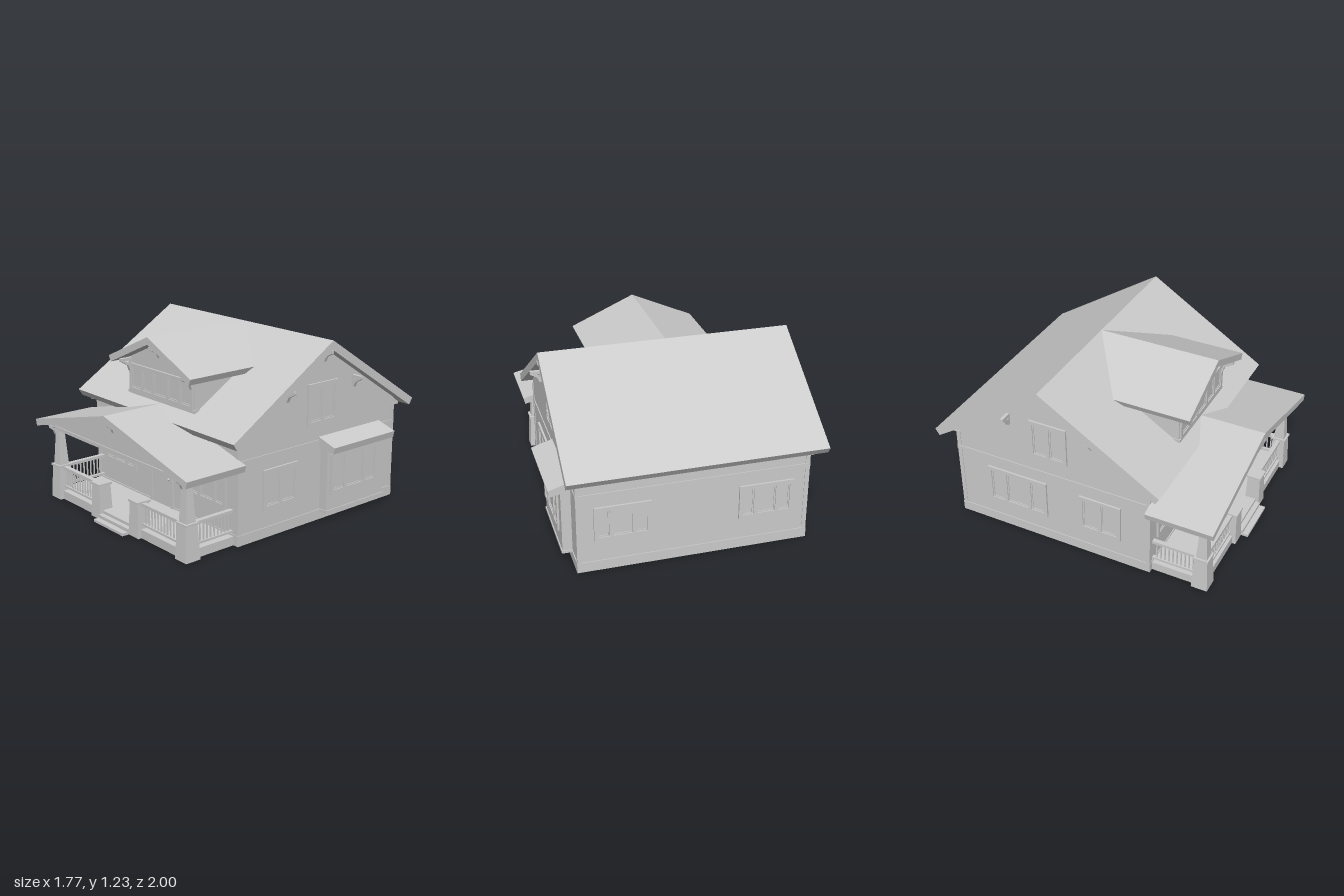
import * as THREE from 'three';

const mat = new THREE.MeshStandardMaterial({ color: 0xcccccc, flatShading: true });
const CX = -0.035; // symmetry plane of the house
const X0 = -0.80, X1 = 0.735, Z0 = -0.89, Z1 = 0.54; // wall faces

export function createModel() {
  const house = new THREE.Group();
  house.name = 'house';

  const add = (name, geo, parent = house) => {
    const m = new THREE.Mesh(geo, mat);
    m.name = name;
    parent.add(m);
    return m;
  };
  // Box given by its min and max on each axis
  const box = (name, x0, x1, y0, y1, z0, z1, parent = house) => {
    const m = add(name, new THREE.BoxGeometry(x1 - x0, y1 - y0, z1 - z0), parent);
    m.position.set((x0 + x1) / 2, (y0 + y1) / 2, (z0 + z1) / 2);
    return m;
  };
  const poly = pts => new THREE.Shape(pts.map(p => new THREE.Vector2(...p)));
  const extrude = (shape, depth) => new THREE.ExtrudeGeometry(shape, { depth, bevelEnabled: false });
  // Prism with its profile in x,y, running from z0 to z1
  const alongZ = (name, pts, z0, z1) => {
    const m = add(name, extrude(poly(pts), z1 - z0));
    m.position.z = z0;
    return m;
  };
  // Prism with its profile in z,y, running from x0 to x1
  const alongX = (name, pts, x0, x1) => {
    const m = add(name, extrude(poly(pts), x1 - x0));
    m.rotation.y = -Math.PI / 2;
    m.position.x = x1;
    return m;
  };
  // Gable roof slab with eaves cut square to the slope
  const gable = (a, b, apex, top, eave, t) => {
    const ends = [[a, 1], [b, -1]].map(([e, s]) => {
      const run = Math.abs(apex - e), rise = top - eave, l = Math.hypot(run, rise);
      return { low: [e + s * t * rise / l, eave - t * run / l], drop: t * l / run };
    });
    return [[a, eave], ends[0].low, [apex, top - ends[0].drop], ends[1].low, [b, eave], [apex, top]];
  };

  // Main body, base skirt, belt course and corner boards
  alongX('walls', [[Z0, 0], [Z1, 0], [Z1, 0.72], [-0.195, 1.18], [Z0, 0.73]], X0, X1);
  const e = 0.006;
  box('baseSkirt', X0 - e, X1 + e, 0, 0.07, Z0 - e, Z1 + e);
  box('beltCourse', X0 - e, X1 + e, 0.535, 0.56, Z0 - e, Z1 + e);
  for (const x of [X0, X1]) for (const z of [Z0, Z1]) {
    const sx = Math.sign(x), sz = Math.sign(z);
    const cx = x - sx * 0.011, cz = z - sz * 0.011;
    box('cornerBoard', cx - 0.015, cx + 0.015, 0.07, 0.68, cz - 0.015, cz + 0.015);
  }

  // Roofs
  alongX('mainRoof', gable(-1, 0.64, -0.195, 1.23, 0.71, 0.053), -0.885, 0.81);
  alongZ('porchRoof', gable(-0.885, 0.81, CX, 0.77, 0.558, 0.046), 0.54, 1.0);
  alongZ('dormerRoof', gable(-0.475, 0.41, CX, 1.23, 1.035, 0.045), -0.195, 0.648);

  // Rafter tails under both long eaves
  for (let i = 0; i < 9; i++) {
    const x = -0.78 + i * 0.186;
    box('rafterTail', x - 0.01, x + 0.01, 0.655, 0.70, Z1, 0.60);
    box('rafterTail', x - 0.01, x + 0.01, 0.655, 0.70, -0.96, Z0);
  }

  // Knee brace: wall post, arm and diagonal, projecting along local +z
  const brace = (x, y, z, turn = 0, out = 0.08, h = 0.08) => {
    const s = poly([[0, 0], [0.018, 0], [0.03, h * 0.4], [out, h - 0.02], [out, h], [0, h]]);
    const hole = new THREE.Path();
    hole.moveTo(0.014, h * 0.5).lineTo(0.014, h - 0.02).lineTo(out * 0.62, h - 0.02).closePath();
    s.holes.push(hole);
    const g = new THREE.Group();
    const m = add('braceTimber', extrude(s, 0.024), g);
    m.rotation.y = -Math.PI / 2;
    m.position.x = 0.012;
    g.name = 'kneeBrace';
    g.position.set(x, y, z);
    g.rotation.y = turn;
    house.add(g);
  };

  // Framed window facing local +z; panes are relative widths
  const windowAt = (x, y, z, w, h, panes, turn = 0, rim = 0.026) => {
    const g = new THREE.Group();
    g.name = 'window';
    const rect = (P, x0, x1, y0, y1) => new P([[x0, y0], [x1, y0], [x1, y1], [x0, y1]].map(p => new THREE.Vector2(...p)));
    const casing = rect(THREE.Shape, -w / 2, w / 2, -h / 2, h / 2);
    const gap = rim * 0.9, total = panes.reduce((a, b) => a + b);
    const room = w - 2 * rim - gap * (panes.length - 1);
    let px = -w / 2 + rim;
    for (const p of panes) {
      const pw = room * p / total, b = h / 2 - rim;
      casing.holes.push(rect(THREE.Path, px, px + pw, -b, b));
      const sash = rect(THREE.Shape, px, px + pw, -b, b);
      sash.holes.push(rect(THREE.Path, px + 0.009, px + pw - 0.009, -b + 0.009, b - 0.009));
      add('sash', extrude(sash, 0.007), g);
      px += pw + gap;
    }
    add('casing', extrude(casing, 0.014), g);
    box('glass', -w / 2 + 0.01, w / 2 - 0.01, -h / 2 + 0.01, h / 2 - 0.01, -0.01, 0.002, g);
    g.position.set(x, y, z);
    g.rotation.y = turn;
    house.add(g);
  };

  const three = [1, 1.7, 1], two = [1, 1], R = Math.PI / 2;
  for (const s of [-1, 1]) {
    windowAt(CX + s * 0.477, 0.34, Z1, 0.37, 0.24, three);
    windowAt(CX + s * 0.477, 0.34, Z0, 0.37, 0.24, three, Math.PI);
    const x = s > 0 ? X1 : X0;
    windowAt(x, 0.325, 0.185, 0.30, 0.27, two, s * R);
    windowAt(x, 0.81, -0.18, 0.27, 0.28, two, s * R);
    windowAt(s > 0 ? 0.80 : X0, 0.325, -0.435, 0.45, 0.28, three, s * R);
    // Braces on the gable ends
    brace(x, 1.085, -0.185, s * R);
    brace(x, 0.87, 0.14, s * R);
    brace(x, 0.87, -0.47, s * R);
  }

  // Dormer
  alongZ('dormerWalls', [[-0.385, 0.7], [0.315, 0.7], [0.315, 1.04], [CX, 1.195], [-0.385, 1.04]], -0.1, Z1);
  box('dormerSill', -0.39, 0.32, 0.78, 0.80, 0.5, Z1 + 0.012);
  windowAt(CX, 0.893, Z1, 0.68, 0.19, [1, 1, 1.3, 1, 1], 0, 0.022);
  brace(CX, 1.08, Z1, 0, 0.09);
  for (const s of [-1, 1]) brace(CX + s * 0.333, 0.935, Z1, 0, 0.09, 0.09);

  // Side bay with its shed roof
  box('bayWalls', X1 - 0.02, 0.80, 0.055, 0.53, -0.73, -0.18);
  box('baySkirt', X1 - 0.02, 0.806, 0.055, 0.075, -0.736, -0.174);
  alongZ('bayRoof', [[0.70, 0.53], [0.87, 0.49], [0.88, 0.535], [0.70, 0.59]], -0.745, -0.16);
  for (let i = 0; i < 5; i++) {
    const z = -0.70 + i * 0.123;
    box('bayRafterTail', 0.79, 0.85, 0.48, 0.51, z - 0.01, z + 0.01);
  }

  // Front door and wall lamps
  box('doorFrame', -0.158, -0.135, 0.06, 0.485, Z1, Z1 + 0.015);
  box('doorFrame', 0.065, 0.088, 0.06, 0.485, Z1, Z1 + 0.015);
  box('doorLintel', -0.165, 0.095, 0.475, 0.495, Z1, Z1 + 0.02);
  box('door', -0.135, 0.065, 0.06, 0.475, Z1, Z1 + 0.008);
  const knob = add('doorKnob', new THREE.SphereGeometry(0.009, 8, 6));
  knob.position.set(0.045, 0.26, Z1 + 0.014);
  for (const s of [-1, 1]) {
    const x = CX + s * 0.197;
    box('lampArm', x - 0.01, x + 0.01, 0.385, 0.43, Z1, Z1 + 0.015);
    const lamp = add('lampShade', new THREE.CylinderGeometry(0.024, 0.012, 0.05, 6));
    lamp.position.set(x, 0.395, Z1 + 0.03);
    const cap = add('lampCap', new THREE.ConeGeometry(0.03, 0.022, 6));
    cap.position.set(x, 0.431, Z1 + 0.03);
  }

  // Porch floor, steps and gable front
  box('porchFloor', -0.77, 0.70, 0, 0.06, Z1, 0.92);
  box('step', -0.20, 0.13, 0, 0.04, 0.9, 0.955);
  box('step', -0.20, 0.13, 0, 0.018, 0.9, 0.995);
  alongZ('porchGable', [[-0.76, 0.5], [0.69, 0.5], [0.69, 0.55], [CX, 0.735], [-0.76, 0.55]], 0.865, 0.915);
  box('porchBeam', -0.765, 0.695, 0.495, 0.52, 0.86, 0.922);
  brace(CX, 0.645, 0.915, 0, 0.07, 0.075);

  // Square tapered post: bottom and top widths
  const post = (name, x, y0, y1, z, w0, w1) => {
    const g = new THREE.CylinderGeometry(w1 / Math.SQRT2, w0 / Math.SQRT2, y1 - y0, 4, 1);
    g.rotateY(Math.PI / 4);
    add(name, g).position.set(x, (y0 + y1) / 2, z);
  };
  // Railing between two floor points, with balusters
  const railing = (x0, z0, x1, z1, n) => {
    const g = new THREE.Group();
    g.name = 'railing';
    const l = Math.hypot(x1 - x0, z1 - z0);
    box('topRail', 0, l, 0.215, 0.235, -0.016, 0.016, g);
    box('bottomRail', 0, l, 0.08, 0.095, -0.012, 0.012, g);
    for (let i = 1; i <= n; i++) {
      const x = l * i / (n + 1);
      box('baluster', x - 0.004, x + 0.004, 0.09, 0.22, -0.004, 0.004, g);
    }
    g.position.set(x0, 0, z0);
    g.rotation.y = -Math.atan2(z1 - z0, x1 - x0);
    house.add(g);
  };
  const ZP = 0.893;
  for (const s of [-1, 1]) {
    const xo = CX + s * 0.71, xi = CX + s * 0.216;
    post('cornerPedestal', xo, 0, 0.23, ZP, 0.112, 0.088);
    post('pedestalCap', xo, 0.23, 0.245, ZP, 0.102, 0.102);
    post('column', xo, 0.245, 0.5, ZP, 0.074, 0.042);
    post('stairPedestal', xi, 0, 0.23, ZP, 0.104, 0.088);
    post('pedestalCap', xi, 0.23, 0.245, ZP, 0.102, 0.102);
    railing(xo - s * 0.04, ZP, xi + s * 0.04, ZP, 12);
    railing(xo, Z1, xo, ZP - 0.04, 10);
    box('sideBeam', xo - 0.02, xo + 0.02, 0.495, 0.55, Z1, 0.87);
    brace(xo, 0.465, 0.915, 0, 0.06, 0.075);
  }

  return house;
}
